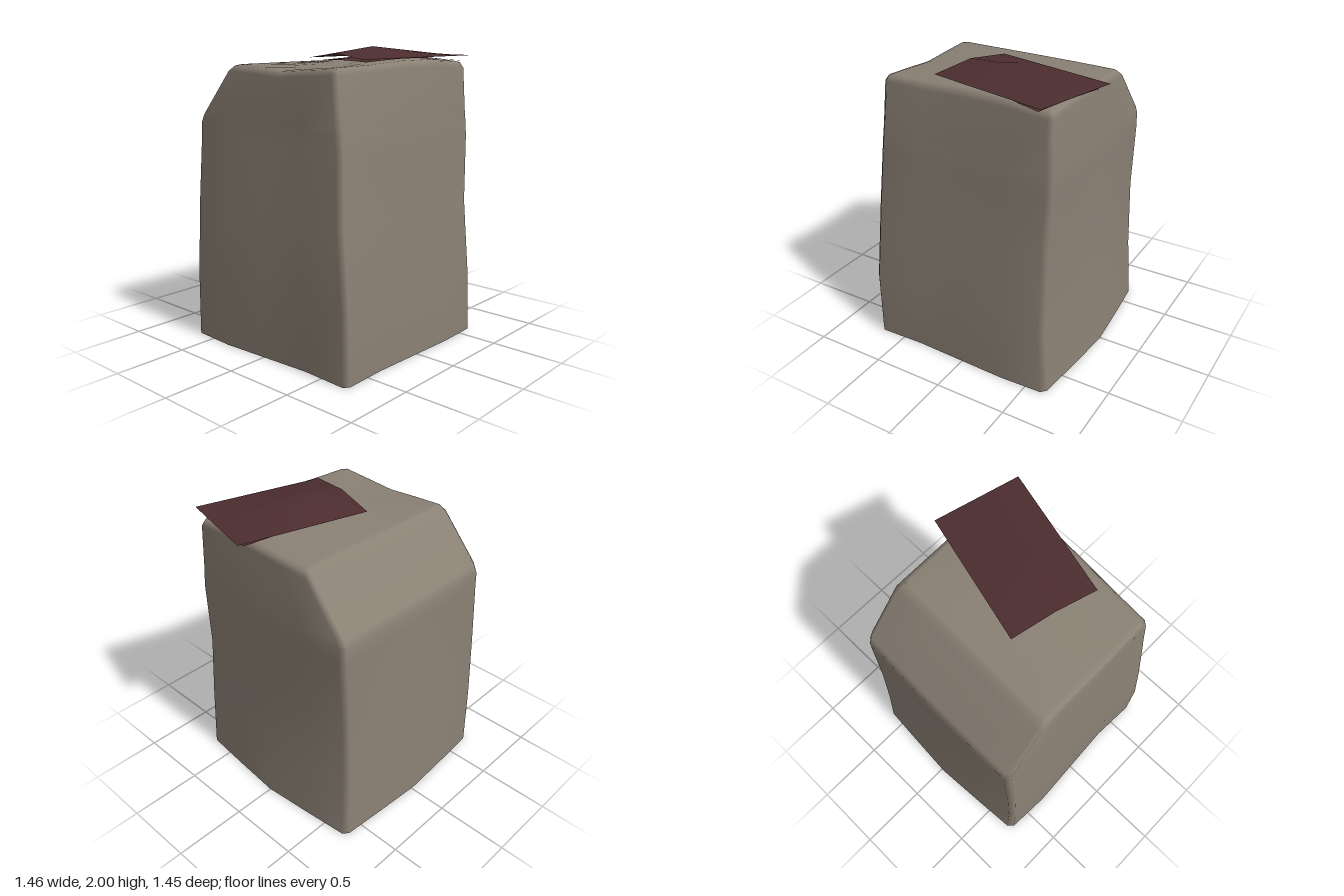
import * as THREE from 'three';

const stone = new THREE.MeshStandardMaterial({ color: 0x8a8074, side: THREE.DoubleSide });
stone.name = 'warm grey stone';
const cloth = new THREE.MeshStandardMaterial({ color: 0x4c2d2f, side: THREE.DoubleSide });
cloth.name = 'dark red cloth';

// Levels of the block: height, left x, right x, front z, back z
const levels = [
  [0, -0.715, 0.675, 0.715, -0.705],
  [0.45, -0.72, 0.64, 0.715, -0.69],
  [0.95, -0.7, 0.622, 0.675, -0.675],
  [1.4, -0.665, 0.632, 0.663, -0.668],
  [1.5, -0.66, 0.628, 0.657, -0.667],
  [1.55, -0.657, 0.625, 0.652, -0.645],
  [1.85, -0.643, 0.61, 0.635, -0.385],
  [1.885, -0.625, 0.595, 0.615, -0.34],
];

// One square outline with clipped corners, in -1..1 coordinates
const outline = [];
const side = [-0.95, -0.5, 0, 0.5, 0.95];
for (let k = 0; k < 4; k++) {
  for (const t of side) {
    outline.push([[t, 1], [1, -t], [-t, -1], [-1, t]][k]);
  }
}

const gauss = (dx, dz, w) => Math.exp(-(dx * dx + dz * dz) / (w * w));
// Height of the uneven top
const topHeight = (x, z) =>
  1.892 + 0.05 * gauss(x - 0.18, z - 0.3, 0.38) - 0.03 * gauss(x + 0.65, z - 0.1, 0.25);

// Place an outline point on a level, with the tilt of front and back and a wavy foot
function place([a, b], [y, xl, xr, zf, zb]) {
  const k = y / 1.9, u = (a + 1) / 2, v = (b + 1) / 2;
  const front = zf - 0.085 * k * k * (1 - u);
  const back = zb + 0.04 * k * u;
  const wave = 1 - k;
  const x = THREE.MathUtils.lerp(xl, xr, u)
    + wave * (a > 0 ? 0.03 * a * Math.cos(b * 3.1) : 0.02 * -a * Math.sin(b * 3.1));
  const z = THREE.MathUtils.lerp(back, front, v)
    + wave * (b > 0 ? 0.012 * b * Math.sin(a * 3.1) : 0.022 * b * Math.cos(a * 3.1));
  return [x, y, z];
}

function makeBlock() {
  const pos = [], index = [], n = outline.length;
  for (const level of levels) {
    for (const p of outline) {
      const q = place(p, level);
      if (level[0] > 1.8) q[1] += topHeight(q[0], q[2]) - 1.892;
      pos.push(...q);
    }
  }
  // Top surface as shrinking rings
  const last = levels[levels.length - 1];
  for (const s of [0.95, 0.72, 0.48, 0.24, 0.001]) {
    for (const [a, b] of outline) {
      const [x, , z] = place([a * s, b * s], last);
      pos.push(x, topHeight(x, z), z);
    }
  }
  const rings = pos.length / 3 / n;
  for (let r = 0; r < rings - 1; r++) {
    for (let i = 0; i < n; i++) {
      const j = (i + 1) % n;
      const p = r * n + i, q = r * n + j;
      index.push(p, q, q + n, p, q + n, p + n);
    }
  }
  const geo = new THREE.BufferGeometry();
  geo.setAttribute('position', new THREE.Float32BufferAttribute(pos, 3));
  geo.setIndex(index);
  geo.computeVertexNormals();
  return geo;
}

// Rectangular sheet turned on the top; height(s, t, x, z) shapes it
function makeSheet(inset, height) {
  const geo = new THREE.PlaneGeometry(1, 1, 12, 8);
  const p = geo.attributes.position;
  for (let i = 0; i < p.count; i++) {
    const s = 0.5 + p.getX(i) * inset, t = 0.5 - p.getY(i) * inset;
    const x = -0.15 + 0.875 * s - 0.148 * t;
    const z = -0.11 + 0.23 * s + 0.583 * t;
    p.setXYZ(i, x, height(s, t, x, z), z);
  }
  geo.computeVertexNormals();
  return geo;
}

export function createModel() {
  const group = new THREE.Group();
  const add = (name, geo, mat) => {
    const mesh = new THREE.Mesh(geo, mat);
    mesh.name = name;
    group.add(mesh);
  };
  add('stoneBlock', makeBlock(), stone);

  // Upper sheet: ridge across the near third, falling to all corners
  const ridge = (s) => (s < 0.33 ? 0.035 + 0.106 * s : 0.07 * (1 - s) / 0.67);
  add('topSheet', makeSheet(1, (s, t) =>
    1.928 + 0.015 * s + ridge(s) * (1 - Math.abs(2 * t - 1))), cloth);

  // Under layer lying on the stone
  add('underSheet', makeSheet(0.88, (s, t, x, z) => topHeight(x, z) + 0.006), cloth);
  return group;
}
